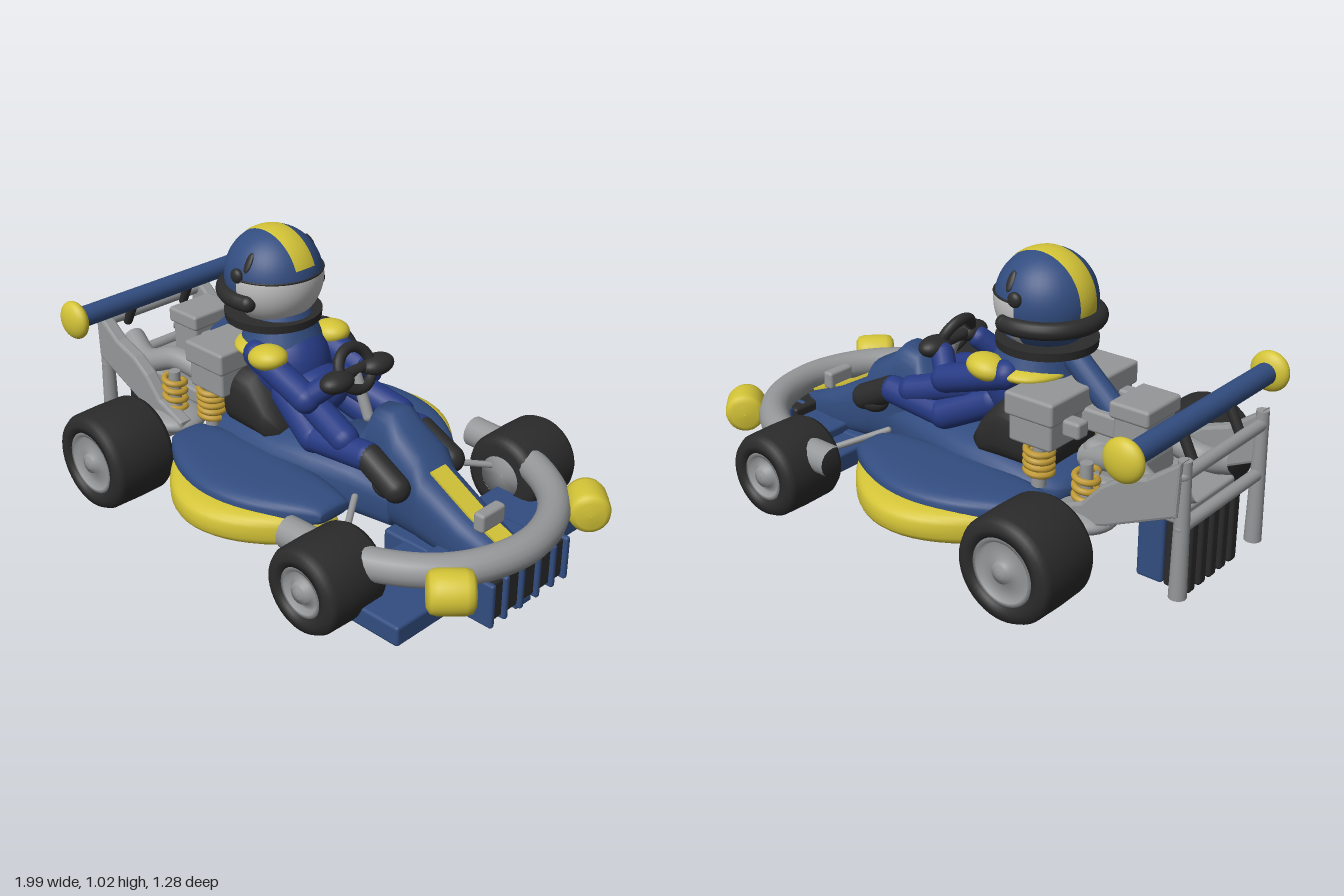
import * as THREE from 'three';
import { RoundedBoxGeometry } from 'three/addons/geometries/RoundedBoxGeometry.js';

const mat = (name, color) => { const m = new THREE.MeshStandardMaterial({ color }); m.name = name; return m; };
const V = (x, y, z) => new THREE.Vector3(x, y, z);
const pts2 = list => list.map(p => new THREE.Vector2(...p));

export function createModel() {
  const blue = mat('body blue', 0x324d80), royal = mat('suit blue', 0x263a84), yellow = mat('yellow', 0xd3c337),
    dark = mat('rubber black', 0x2b2b2b), grey = mat('metal grey', 0x959799), white = mat('visor white', 0xc2c2c2),
    gold = mat('spring gold', 0xc09a35);
  const root = new THREE.Group();
  const add = (name, geo, m, x = 0, y = 0, z = 0) => {
    const mesh = new THREE.Mesh(geo, m);
    mesh.name = name; mesh.position.set(x, y, z); root.add(mesh);
    return mesh;
  };
  // Rounded box given by its extents
  const box = (name, m, x0, x1, y0, y1, z0, z1, r = 0.012) =>
    add(name, new RoundedBoxGeometry(x1 - x0, y1 - y0, z1 - z0, 2, r), m, (x0 + x1) / 2, (y0 + y1) / 2, (z0 + z1) / 2);
  const ball = (name, m, x, y, z, rx, ry, rz) => {
    const b = add(name, new THREE.SphereGeometry(1, 28, 18), m, x, y, z);
    b.scale.set(rx, ry, rz); return b;
  };
  // Capsule or rod between two points
  const between = (name, m, a, b, r, r2 = null) => {
    const d = b.clone().sub(a), L = d.length();
    const g = r2 === null ? new THREE.CapsuleGeometry(r, L, 8, 18) : new THREE.CylinderGeometry(r2, r, L, 24);
    const o = add(name, g, m);
    o.position.copy(a).add(b).multiplyScalar(0.5);
    o.quaternion.setFromUnitVectors(V(0, 1, 0), d.normalize());
    return o;
  };
  const tube = (name, m, pts, r, seg = 40) =>
    add(name, new THREE.TubeGeometry(new THREE.CatmullRomCurve3(pts), seg, r, 16), m);
  // Skin over soft-cornered sections [x, y0, y1, z0, z1]
  const loft = (name, m, secs, e = 0.7, n = 32) => {
    const pos = [], idx = [];
    const pw = v => Math.sign(v) * Math.abs(v) ** e;
    for (const [x, y0, y1, z0, z1] of secs) for (let j = 0; j < n; j++) {
      const t = j / n * Math.PI * 2;
      pos.push(x, (y0 + y1) / 2 + (y1 - y0) / 2 * pw(Math.sin(t)), (z0 + z1) / 2 + (z1 - z0) / 2 * pw(Math.cos(t)));
    }
    const k = secs.length, c0 = k * n, c1 = c0 + 1;
    for (const s of [secs[0], secs[k - 1]]) pos.push(s[0], (s[1] + s[2]) / 2, (s[3] + s[4]) / 2);
    for (let j = 0; j < n; j++) {
      const q = (j + 1) % n;
      for (let i = 0; i < k - 1; i++) {
        const a = i * n + j, c = i * n + q;
        idx.push(a, a + n, c, a + n, c + n, c);
      }
      idx.push(c0, j, q, c1, (k - 1) * n + q, (k - 1) * n + j);
    }
    const g = new THREE.BufferGeometry();
    g.setAttribute('position', new THREE.Float32BufferAttribute(pos, 3));
    g.setIndex(idx); g.computeVertexNormals();
    return add(name, g, m);
  };
  // Curved side pod: blunt ends, outer edge bulging from zEnd to zMid
  const pod = (name, m, s, x0, x1, yMid, yHalf, zInEnd, zInMid, zEnd, zMid) => {
    const rows = [];
    for (let i = 0; i <= 28; i++) {
      const t = -Math.cos(Math.PI * i / 28), f = 1 - t * t, g = 0.25 + 0.75 * Math.sqrt(1 - Math.abs(t) ** 5);
      const a = zInEnd + (zInMid - zInEnd) * f, b = zEnd + (zMid - zEnd) * f;
      rows.push([(x0 + x1) / 2 + (x1 - x0) / 2 * t, yMid - yHalf * g, yMid + yHalf * g, ...(s > 0 ? [a, b] : [-b, -a])]);
    }
    loft(name, m, rows, 0.65);
  };

  // Central hull and nose cowl
  loft('hull', blue, [[-0.46, 0.2, 0.24, -0.1, 0.1], [-0.43, 0.16, 0.27, -0.17, 0.17], [-0.36, 0.13, 0.3, -0.21, 0.21],
    [-0.2, 0.11, 0.33, -0.23, 0.23], [-0.05, 0.1, 0.34, -0.23, 0.23], [0.1, 0.1, 0.34, -0.2, 0.2], [0.25, 0.1, 0.32, -0.15, 0.15], [0.4, 0.1, 0.28, -0.11, 0.11]]);
  ball('belly', dark, -0.12, 0.15, 0, 0.32, 0.065, 0.19);
  loft('noseCowl', blue, [[0.1, 0.12, 0.37, -0.14, 0.14], [0.25, 0.1, 0.42, -0.11, 0.11], [0.28, 0.1, 0.52, -0.09, 0.09],
    [0.36, 0.1, 0.53, -0.1, 0.1], [0.41, 0.1, 0.48, -0.11, 0.11], [0.5, 0.1, 0.43, -0.11, 0.11],
    [0.53, 0.1, 0.36, -0.11, 0.11], [0.7, 0.08, 0.265, -0.1, 0.1], [0.86, 0.06, 0.2, -0.08, 0.08]]);
  for (const [x0, y0, x1, y1] of [[0.53, 0.363, 0.7, 0.268], [0.7, 0.268, 0.86, 0.203]]) {
    const s = add('noseStripe', new THREE.BoxGeometry(Math.hypot(x1 - x0, y1 - y0), 0.009, 0.075), yellow, (x0 + x1) / 2, (y0 + y1) / 2, 0);
    s.rotation.z = Math.atan2(y1 - y0, x1 - x0);
  }
  box('noseClip', grey, 0.735, 0.78, 0.24, 0.31, -0.06, 0.06);

  // Front wing and grille
  box('frontWing', blue, 0.49, 0.81, 0.04, 0.115, -0.5, 0.5);
  box('noseFloor', blue, 0.4, 0.92, 0.025, 0.12, -0.12, 0.12);
  box('scoop', blue, 0.62, 0.85, 0.025, 0.15, -0.2, 0.2);
  box('grille', dark, 0.8, 0.93, 0.035, 0.185, -0.19, 0.19);
  for (const z of [-0.195, -0.125, -0.043, 0.043, 0.125, 0.195]) box('grilleBar', blue, 0.82, 0.945, 0.025, 0.19, z - 0.011, z + 0.011, 0.009);
  box('skidPlate', blue, 0.64, 0.92, 0.006, 0.03, -0.04, 0.04, 0.005);

  // Bumper pipe
  tube('bumper', grey, [[0.3, -0.48], [0.46, -0.47], [0.64, -0.415], [0.79, -0.31], [0.88, -0.17], [0.915, 0],
    [0.88, 0.17], [0.79, 0.31], [0.64, 0.415], [0.46, 0.47], [0.3, 0.48]].map(([x, z]) => V(x, 0.23, z)), 0.057, 80);

  // Wheel: rounded tyre with dished hub
  const wheel = (x, y, z, r, s) => {
    const w = 0.132, h = r - 0.076;
    const tyre = [[h, -w], [r - 0.04, -w], [r - 0.014, -w + 0.008], [r - 0.002, -w + 0.03], [r, 0],
      [r - 0.002, w - 0.03], [r - 0.014, w - 0.008], [r - 0.04, w], [h + 0.012, w - 0.003], [h, w - 0.035]];
    const rim = [[0.001, -w + 0.01], [h + 0.01, -w + 0.01], [h + 0.01, w - 0.012], [h - 0.006, w - 0.01], [h - 0.014, w - 0.03],
      [0.04, w - 0.022], [0.036, w - 0.004], [0.02, w - 0.004], [0.018, w + 0.003], [0.001, w + 0.003]];
    for (const [name, p, m] of [['tyre', tyre, dark], ['hub', rim, grey]])
      add(name, new THREE.LatheGeometry(pts2(p), 44), m, x, y, z).rotation.x = s * Math.PI / 2;
  };

  for (const s of [1, -1]) {
    wheel(-0.575, 0.188, s * 0.505, 0.185, s);
    wheel(0.51, 0.163, s * 0.505, 0.157, s);
    between('rearAxle', grey, V(-0.575, 0.19, 0), V(-0.575, 0.19, s * 0.4), 0.03, 0.03);
    between('frontArm', grey, V(0.32, 0.24, s * 0.18), V(0.48, 0.18, s * 0.42), 0.012);
    // Bumper pads with slightly domed ends
    const padProfile = pts2([[0.001, -0.08], [0.05, -0.077], [0.068, -0.066], [0.074, -0.045], [0.075, 0], [0.074, 0.045], [0.068, 0.066], [0.05, 0.077], [0.001, 0.08]]);
    const pad = add('bumperPad', new THREE.LatheGeometry(padProfile, 32), yellow, 0.898, 0.226, s * 0.356);
    pad.rotation.set(Math.PI / 2, 0, s * Math.PI / 4);

    // Side pods: blue top over yellow keel
    pod('podTop', blue, s, -0.455, 0.322, 0.222, 0.055, 0.21, 0.16, 0.345, 0.515);
    pod('podKeel', yellow, s, -0.425, 0.312, 0.166, 0.068, 0.25, 0.18, 0.35, 0.59);

    // Coil springs on dampers
    for (const [x, z, y0, y1, r] of [[-0.59, 0.21, 0.23, 0.385, 0.038], [-0.39, 0.2, 0.3, 0.41, 0.045]]) {
      const pts = [];
      for (let i = 0; i <= 80; i++) {
        const a = i / 80 * Math.PI * 9;
        pts.push(V(x + r * Math.cos(a), y0 + (y1 - y0) * i / 80, s * z + r * Math.sin(a)));
      }
      add('spring', new THREE.TubeGeometry(new THREE.CatmullRomCurve3(pts), 160, 0.012, 8), gold);
      between('damper', grey, V(x, y0 - 0.04, s * z), V(x, y1 + 0.025, s * z), 0.026, 0.022);
    }
    ball('springSeat', grey, -0.59, 0.22, s * 0.21, 0.115, 0.045, 0.115);

    // Rear frame
    const arm = new THREE.Shape(pts2([[-0.97, 0.54], [-0.92, 0.5], [-0.86, 0.455], [-0.76, 0.42], [-0.69, 0.37], [-0.62, 0.29], [-0.5, 0.24], [-0.5, 0.19], [-0.7, 0.25], [-0.96, 0.37]]));
    add('rearArm', new THREE.ExtrudeGeometry(arm, { depth: 0.035, bevelSize: 0.01, bevelThickness: 0.01, bevelSegments: 2 }), grey, 0, 0, s * 0.245 - 0.0175);
    between('rearPost', grey, V(-0.97, 0.07, s * 0.235), V(-0.97, 0.55, s * 0.235), 0.03, 0.022);
    between('spoilerStay', dark, V(-0.95, 0.48, s * 0.14), V(-0.89, 0.6, s * 0.14), 0.018);
    tube('exhaust', grey, [V(-0.5, 0.36, s * 0.08), V(-0.68, 0.4, s * 0.12), V(-0.82, 0.36, s * 0.15), V(-0.95, 0.4, s * 0.12)], 0.045);
    ball('spoilerCap', yellow, -0.88, 0.598, s * 0.435, 0.073, 0.073, 0.037);

    // Driver limbs
    between('upperArm', royal, V(-0.2, 0.59, s * 0.14), V(0.06, 0.51, s * 0.155), 0.052);
    between('forearm', royal, V(0.06, 0.51, s * 0.15), V(0.12, 0.57, s * 0.1), 0.042);
    ball('shoulderPad', yellow, -0.13, 0.605, s * 0.155, 0.078, 0.045, 0.065).rotation.z = 0.15;
    ball('glove', dark, 0.155, 0.59, s * 0.1, 0.05, 0.037, 0.07);
    between('hip', royal, V(-0.1, 0.45, s * 0.09), V(0.08, 0.365, s * 0.135), 0.06);
    between('thigh', royal, V(0, 0.48, s * 0.1), V(0.23, 0.415, s * 0.14), 0.052);
    between('shin', royal, V(0.09, 0.365, s * 0.14), V(0.33, 0.385, s * 0.135), 0.052);
    between('boot', dark, V(0.34, 0.385, s * 0.135), V(0.47, 0.32, s * 0.14), 0.05);
    ball('bootToe', dark, 0.43, 0.31, s * 0.135, 0.06, 0.04, 0.046);

    // Helmet ear fittings
    ball('earDisc', dark, -0.26, 0.88, s * 0.174, 0.027, 0.027, 0.018);
    ball('earVent', dark, -0.225, 0.93, s * 0.149, 0.015, 0.038, 0.007).rotation.x = -0.53 * s;
  }

  // Rear details
  between('rearCrossbar', grey, V(-0.97, 0.5, -0.24), V(-0.97, 0.5, 0.24), 0.022);
  between('rearCrossbar', grey, V(-0.97, 0.32, -0.24), V(-0.97, 0.32, 0.24), 0.022);
  box('rearDeck', grey, -0.93, -0.5, 0.27, 0.33, -0.16, 0.16);
  box('flapMount', blue, -0.855, -0.755, 0.03, 0.28, -0.15, 0.15);
  for (let i = 0; i < 5; i++) box('rearFlap', dark, -0.96, -0.86, 0.03, 0.3, -0.15 + i * 0.064, -0.106 + i * 0.064);
  between('spoilerBar', blue, V(-0.88, 0.598, -0.43), V(-0.88, 0.598, 0.43), 0.039, 0.039);

  // Engine boxes with lids
  for (const [x0, x1, w, split] of [[-0.475, -0.275, 0.25, 0.505], [-0.745, -0.59, 0.1, 0.53]]) {
    box('engineBlock', grey, x0 + 0.012, x1 - 0.012, 0.41, 0.54, -w + 0.012, w - 0.012);
    box('engineLid', grey, x0, x1, split, 0.59, -w, w);
  }
  box('engineLink', grey, -0.6, -0.46, 0.44, 0.52, -0.07, 0.07);
  box('engineMount', grey, -0.73, -0.49, 0.28, 0.43, -0.12, 0.12, 0.04);
  for (const s of [1, -1]) box('latch', grey, -0.54, -0.47, 0.46, 0.52, s * 0.16 - 0.03, s * 0.16 + 0.03);
  between('intakeSpine', blue, V(-0.56, 0.5, 0), V(-0.39, 0.65, 0), 0.045);

  // Seat, torso and neck
  loft('seat', dark, [[-0.38, 0.28, 0.44, -0.14, 0.14], [-0.32, 0.26, 0.52, -0.2, 0.2], [-0.2, 0.26, 0.53, -0.21, 0.21],
    [-0.12, 0.26, 0.44, -0.2, 0.2], [-0.07, 0.27, 0.36, -0.16, 0.16]]);
  ball('torso', royal, -0.18, 0.52, 0, 0.15, 0.16, 0.15);
  ball('lap', royal, -0.06, 0.46, 0, 0.13, 0.09, 0.12);
  ball('collarBack', yellow, -0.24, 0.595, 0, 0.13, 0.04, 0.18);
  between('neck', blue, V(-0.22, 0.58, 0), V(-0.23, 0.72, 0), 0.16, 0.11);
  add('neckRing', new THREE.CylinderGeometry(0.178, 0.175, 0.03, 40), dark, -0.265, 0.694, 0);

  // Helmet with visor, stripe and padded band
  const hx = -0.26, hy = 0.842;
  add('helmet', new THREE.SphereGeometry(0.177, 40, 28), blue, hx, hy, 0);
  add('visor', new THREE.SphereGeometry(0.18, 32, 20, Math.PI / 2, Math.PI, 1.43, 1.5), white, hx, hy, 0);
  add('visorEdge', new THREE.TorusGeometry(0.178, 0.004, 8, 32, Math.PI), dark, hx, hy + 0.026, 0).rotation.set(Math.PI / 2, 0, -Math.PI / 2);
  add('helmetStripe', new THREE.SphereGeometry(0.179, 48, 8, Math.PI + 0.36, 2.99, 1.315, 0.512), yellow, hx, hy, 0).rotation.x = Math.PI / 2;
  const back = [];
  for (let i = 0; i <= 12; i++) { const a = Math.PI * (0.42 + i / 12 * 1.16); back.push(V(hx + 0.18 * Math.cos(a), 0.787, 0.175 * Math.sin(a))); }
  tube('headBand', dark, back, 0.031);
  for (const p of [back[0], back[12]]) ball('bandEnd', dark, p.x, p.y, p.z, 0.031, 0.031, 0.031);

  // Steering wheel and column
  const ring = add('steeringWheel', new THREE.TorusGeometry(0.075, 0.02, 12, 32), dark, 0.145, 0.605, 0);
  ring.rotation.order = 'ZYX';
  ring.rotation.set(0, Math.PI / 2, 0.45);
  between('steeringHub', dark, V(0.145, 0.595, -0.07), V(0.145, 0.595, 0.07), 0.02);
  between('steeringColumn', grey, V(0.15, 0.58, 0), V(0.21, 0.44, 0), 0.02);
  return root;
}
